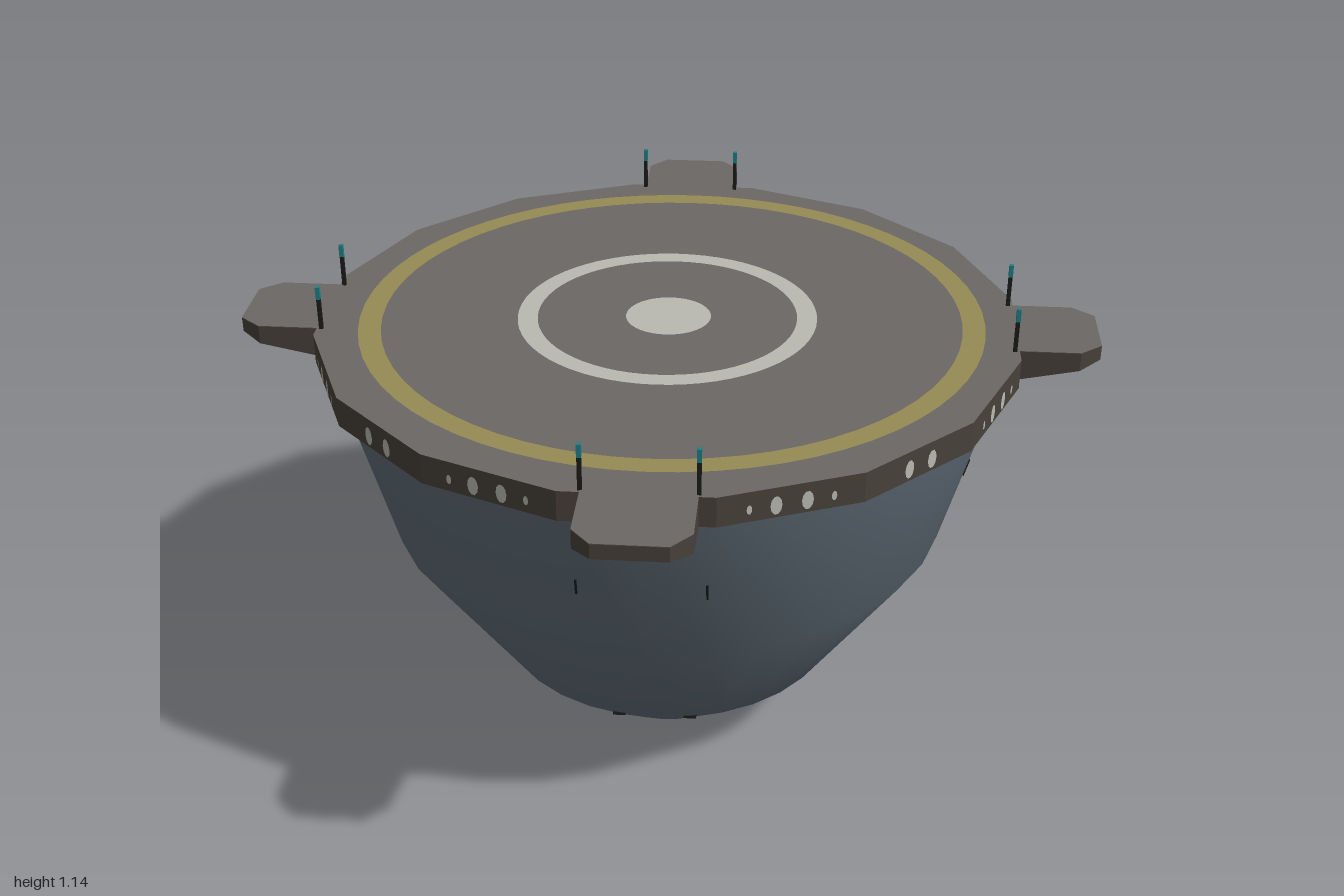
import * as THREE from 'three';
import { ConvexGeometry } from 'three/addons/geometries/ConvexGeometry.js';

const paint = (name, color, side = THREE.FrontSide) => {
  const m = new THREE.MeshStandardMaterial({ color, side });
  m.name = name;
  return m;
};

export function createModel() {
  const hull = paint('blue grey hull', 0x626f7a, THREE.DoubleSide);
  const deckGrey = paint('deck grey', 0x6c6864);
  const rimBrown = paint('rim brown', 0x48413a);
  const white = paint('marking white', 0xbabab2);
  const yellow = paint('marking yellow', 0x968b55);
  const black = paint('vent black', 0x1c1b1a);
  const teal = paint('lamp teal', 0x1f7f86);

  const model = new THREE.Group();
  model.name = 'landingPlatform';
  const add = (parent, name, geometry, material, x = 0, y = 0, z = 0) => {
    const mesh = new THREE.Mesh(geometry, material);
    mesh.name = name;
    mesh.position.set(x, y, z);
    parent.add(mesh);
    return mesh;
  };

  const TOP = 1.035, R = 0.827, SIDES = 16, HALF = Math.PI / SIDES;

  // Bowl-shaped lower hull
  const profile = [[0.2, 0], [0.42, 0.175], [0.67, 0.54], [0.78, 0.945]];
  add(model, 'lowerHull', new THREE.LatheGeometry(profile.map(p => new THREE.Vector2(...p)), 32), hull);

  // Closed base with round vents
  add(model, 'base', new THREE.CircleGeometry(0.2, 32).rotateX(Math.PI / 2), rimBrown);
  [[-0.053, -0.14, 0.035], [0.095, -0.06, 0.03], [-0.134, 0, 0.045], [0.007, 0.078, 0.042]].forEach(([x, z, r]) =>
    add(model, 'baseVent', new THREE.CircleGeometry(r, 16).rotateX(Math.PI / 2), black, x, -0.002, z));

  // Sixteen-sided deck: side band, chamfer below, flat top
  const band = (rTop, rBottom, yTop, yBottom) => {
    const g = new THREE.CylinderGeometry(rTop, rBottom, yTop - yBottom, SIDES, 1, true, HALF).toNonIndexed();
    g.computeVertexNormals();
    return g.translate(0, (yTop + yBottom) / 2, 0);
  };
  add(model, 'deckRim', band(R, R, TOP, 0.965), rimBrown);
  add(model, 'deckChamfer', band(R, 0.785, 0.965, 0.94), rimBrown);
  add(model, 'deckUnderside', new THREE.RingGeometry(0.72, 0.785, SIDES, 1, HALF).rotateX(Math.PI / 2), rimBrown, 0, 0.94);
  add(model, 'deckTop', new THREE.CircleGeometry(R, SIDES, HALF).rotateX(-Math.PI / 2), deckGrey, 0, TOP);

  // Painted landing markings
  const flatRing = (inner, outer) => new THREE.RingGeometry(inner, outer, 64).rotateX(-Math.PI / 2);
  add(model, 'outerRing', flatRing(0.68, 0.733), yellow, 0.007, TOP + 0.003, -0.007);
  add(model, 'innerRing', flatRing(0.305, 0.352), white, -0.003, TOP + 0.003, -0.004);
  add(model, 'centreDisc', new THREE.CircleGeometry(0.1, 40).rotateX(-Math.PI / 2), white, 0, TOP + 0.003);

  // Four docking tabs, each with a pair of lamp masts at its root
  const outline = [[-0.12, 0.79], [0.12, 0.79], [0.12, 0.95], [0.078, 1], [-0.078, 1], [-0.12, 0.95]];
  const underY = z => 0.958 + (z - 0.79) * 0.2;
  const tabPoints = outline.flatMap(([x, z]) =>
    [new THREE.Vector3(x, TOP - 0.001, z), new THREE.Vector3(x, underY(z), z)]);
  const tabBody = new ConvexGeometry(tabPoints);
  const tabShape = new THREE.Shape(outline.map(([x, z]) => new THREE.Vector2(x, -z)));
  const tabTop = new THREE.ShapeGeometry(tabShape).rotateX(-Math.PI / 2);

  for (let i = 0; i < 4; i++) {
    const tab = new THREE.Group();
    tab.name = 'dockingTab';
    tab.rotation.y = i * Math.PI / 2;
    model.add(tab);
    add(tab, 'tabBody', tabBody, rimBrown, 0.006);
    add(tab, 'tabTop', tabTop, deckGrey, 0.006, TOP + 0.0005);
    for (const s of [-1, 1]) {
      const x = 0.006 + s * 0.12;
      add(tab, 'mast', new THREE.BoxGeometry(0.009, 0.075, 0.009), black, x, TOP + 0.0375, 0.8);
      add(tab, 'mastLamp', new THREE.BoxGeometry(0.01, 0.03, 0.01), teal, x, TOP + 0.09, 0.8);
      // Small slits and dashes on the hull
      add(tab, 'hullSlit', new THREE.BoxGeometry(0.005, 0.045, 0.006), black, s * 0.14, 0.74, 0.71).rotation.x = 0.27;
      add(tab, 'hullDash', new THREE.BoxGeometry(0.03, 0.007, 0.01), black, s * 0.085, 0.18, 0.414);
    }
  }

  // Oval windows on the rim faces between the tabs
  const apothem = R * Math.cos(HALF);
  const oval = (w, h) => new THREE.CircleGeometry(0.5, 10).scale(w, h, 1);
  const bigWindow = oval(0.026, 0.044), smallWindow = oval(0.012, 0.022);
  for (let i = 0; i < SIDES; i++) {
    if (i % 4 === 0) continue;
    const face = new THREE.Group();
    face.name = 'rimWindows';
    face.rotation.y = i * 2 * HALF;
    model.add(face);
    for (const s of [-1, 1]) {
      add(face, 'window', bigWindow, white, s * 0.034, 0.995, apothem + 0.003);
      if (i % 4 !== 2) add(face, 'smallWindow', smallWindow, white, s * 0.092, 0.995, apothem + 0.003);
    }
  }
  return model;
}
